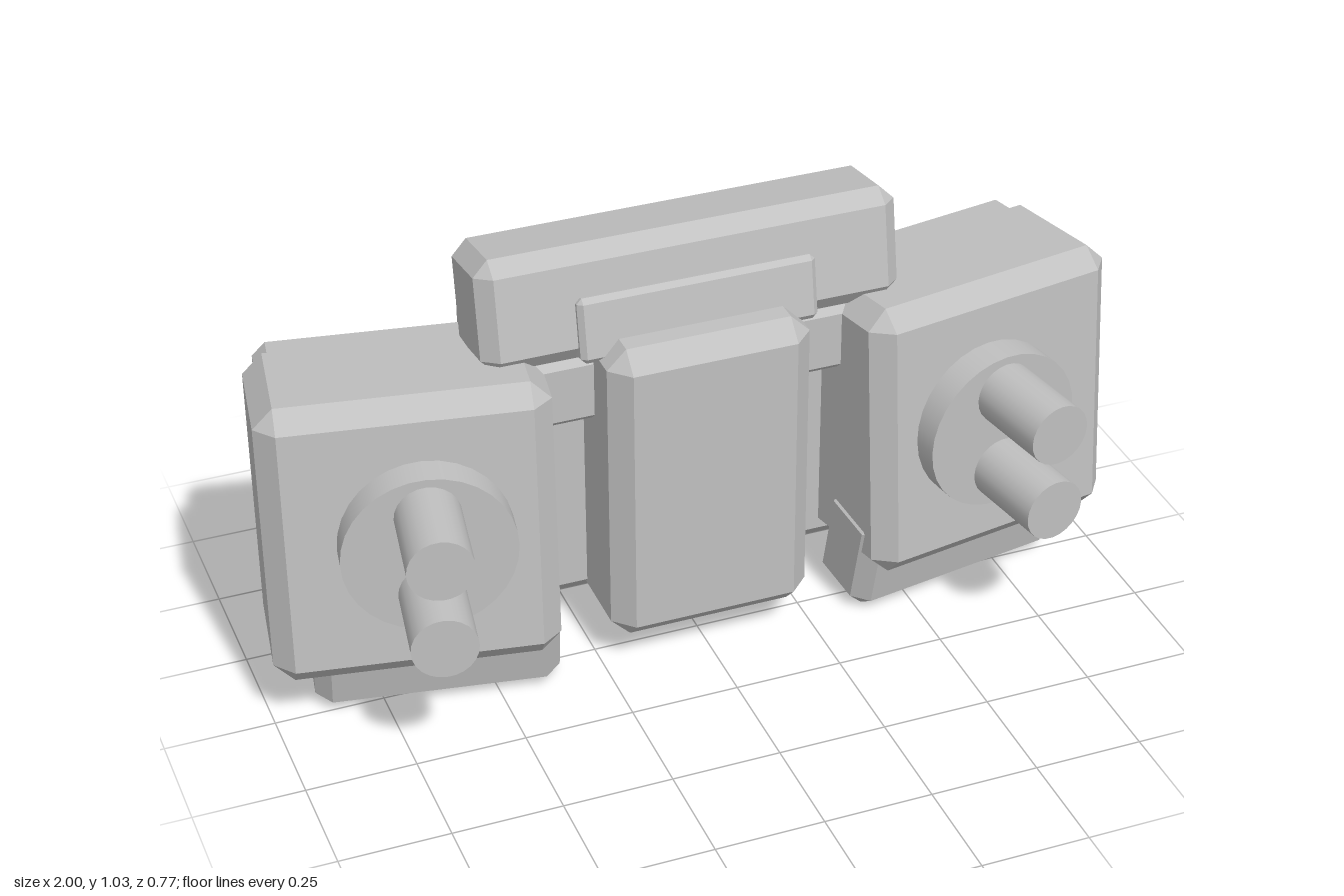
import * as THREE from 'three';
import { ConvexGeometry } from 'three/addons/geometries/ConvexGeometry.js';

const grey = new THREE.MeshStandardMaterial({ color: 0xc0c0c0 });
grey.name = 'lightGrey';

// Box with every edge and corner cut off by c
function chamferBox(w, h, d, c) {
  const points = [];
  for (const sx of [-1, 1]) for (const sy of [-1, 1]) for (const sz of [-1, 1]) {
    for (let flat = 0; flat < 3; flat++) {
      const p = [w / 2, h / 2, d / 2].map((v, i) => (i === flat ? v : v - c));
      points.push(new THREE.Vector3(p[0] * sx, p[1] * sy, p[2] * sz));
    }
  }
  return new ConvexGeometry(points);
}

function add(parent, name, geometry, x, y, z, rx = 0, ry = 0) {
  const mesh = new THREE.Mesh(geometry, grey);
  mesh.name = name;
  mesh.position.set(x, y, z);
  mesh.rotation.set(rx, ry, 0, 'YXZ');
  parent.add(mesh);
  return mesh;
}

function subGroup(parent, name, x, y, z, rx, ry) {
  const group = new THREE.Group();
  group.name = name;
  group.position.set(x, y, z);
  group.rotation.set(rx, ry, 0, 'YXZ');
  parent.add(group);
  return group;
}

export function createModel() {
  const model = new THREE.Group();
  model.name = 'thrusterPack';

  // Central body
  add(model, 'backBody', chamferBox(0.88, 0.73, 0.3, 0.045), 0, 0.465, -0.235);
  add(model, 'centreBlock', chamferBox(0.47, 0.75, 0.27, 0.045), 0, 0.465, -0.017);
  add(model, 'connectorBar', chamferBox(1.0, 0.16, 0.14, 0.015), 0, 0.7, -0.08);

  // Leaning top bar with its front plate
  const top = subGroup(model, 'topBarAssembly', 0, 0.9, -0.115, -0.17, 0);
  add(top, 'topBar', chamferBox(0.97, 0.26, 0.22, 0.035), 0, 0, 0);
  add(top, 'topBarPlate', chamferBox(0.55, 0.15, 0.06, 0.012), 0, -0.055, 0.1);

  // Side pods, turned outwards
  for (const [side, s] of [['left', 1], ['right', -1]]) {
    const yaw = 0.17 * s;
    const pod = subGroup(model, side + 'Pod', 0.69 * s, 0.483, 0.105, -0.07, yaw);
    add(pod, side + 'PodShell', chamferBox(0.635, 0.675, 0.345, 0.045), 0, 0, -0.1725);
    add(pod, side + 'PodRearPad', chamferBox(0.58, 0.655, 0.17, 0.03), 0, -0.005, -0.325);

    // Block beneath the pod
    add(model, side + 'PodFoot', chamferBox(0.55, 0.27, 0.19, 0.035), 0.62 * s, 0.153, -0.022, 0.2, yaw);

    // Disc and twin nozzles
    const nozzles = subGroup(model, side + 'Nozzles', 0.672 * s, 0.49, 0.168, 0, yaw);
    const disc = new THREE.CylinderGeometry(0.192, 0.192, 0.12, 32).rotateX(Math.PI / 2);
    add(nozzles, side + 'Disc', disc, 0, 0, -0.06);
    for (const y of [0.1, -0.098]) {
      const tube = new THREE.CylinderGeometry(0.073, 0.073, 0.25, 24).rotateX(Math.PI / 2);
      add(nozzles, side + 'Nozzle', tube, 0, y, 0.08);
    }
  }
  return model;
}
